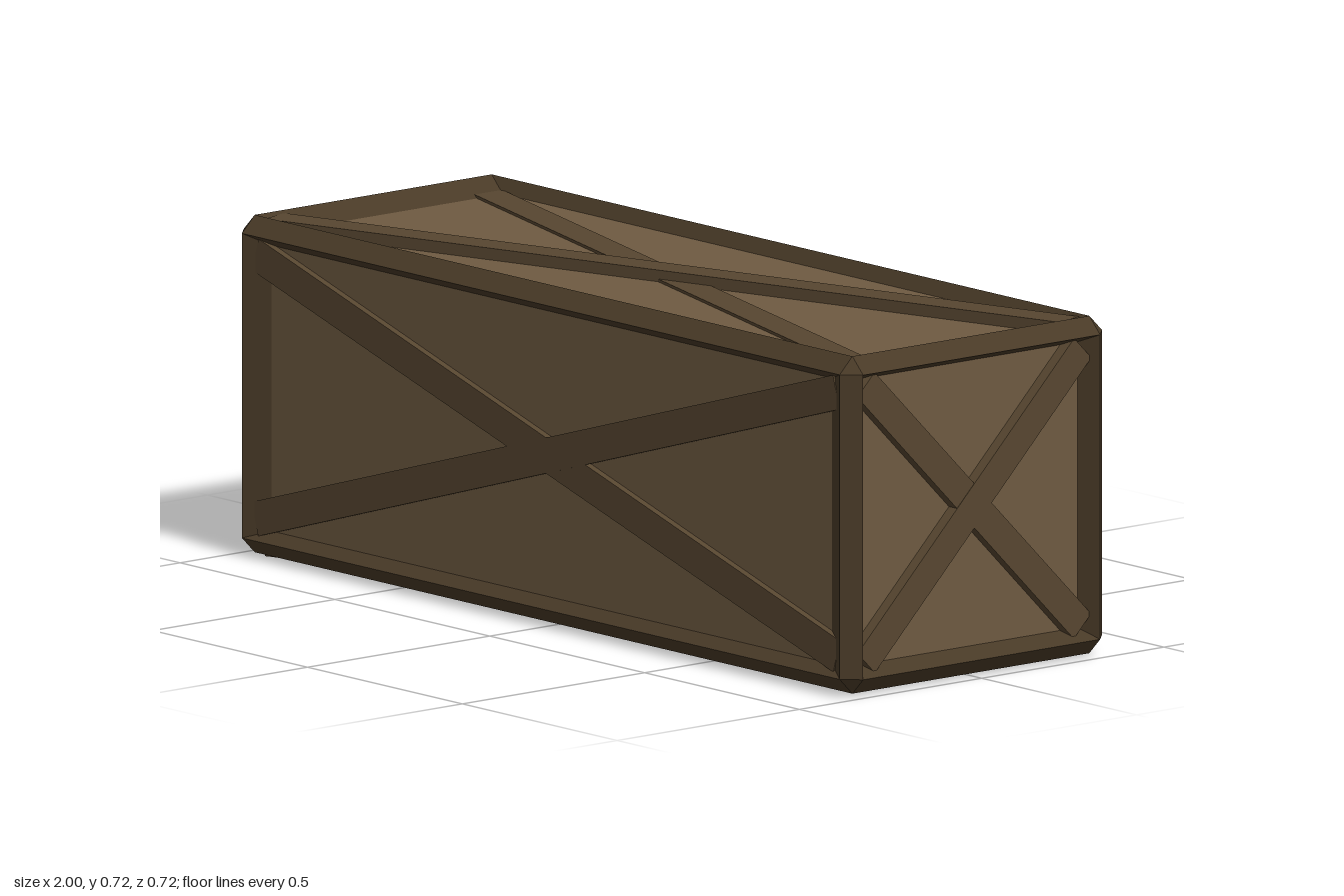
import * as THREE from 'three';

const HALF = [1, 0.36, 0.36];        // half sizes of the crate
const BEVEL = 0.035;                 // outer edge chamfer
const DEPTH = [0.05, 0.03, 0.03];    // panel recess on the x, y and z faces
const RIM = HALF.map((h) => h - BEVEL);
const CENTRE_Y = 0.365;

const material = (color) => new THREE.MeshStandardMaterial({ color, flatShading: true });

// Collects flat polygons, each turned to face the given direction.
function polygons() {
  const pos = [];
  return {
    add(pts, dir) {
      const [a, b, c] = pts;
      const n = b.clone().sub(a).cross(c.clone().sub(a));
      const p = n.dot(dir) < 0 ? [...pts].reverse() : pts;
      for (let i = 1; i < p.length - 1; i++) {
        for (const v of [p[0], p[i], p[i + 1]]) pos.push(v.x, v.y, v.z);
      }
    },
    mesh(name, mat) {
      const g = new THREE.BufferGeometry();
      g.setAttribute('position', new THREE.Float32BufferAttribute(pos, 3));
      g.computeVertexNormals();
      const m = new THREE.Mesh(g, mat);
      m.name = name;
      return m;
    },
  };
}

// Corner point of the face on `axis`; signs choose the corner.
function corner(axis, signs, inset = 1, depth = 0) {
  return new THREE.Vector3(...signs.map((s, i) => s * (i === axis ? HALF[i] - depth : RIM[i] * inset)));
}

function buildBody() {
  const frame = polygons(), panels = polygons();
  for (let a = 0; a < 3; a++) {
    const b = (a + 1) % 3, c = (a + 2) % 3;
    const at = (sa, sb, sc) => { const s = []; s[a] = sa; s[b] = sb; s[c] = sc; return s; };
    for (const s of [-1, 1]) {
      // recessed panel and the sloping sides around it
      const ring = [[-1, -1], [1, -1], [1, 1], [-1, 1]].map(([u, v]) => at(s, u, v));
      const outer = ring.map((q) => corner(a, q));
      const inner = ring.map((q) => corner(a, q, 0.938, DEPTH[a]));
      const dir = new THREE.Vector3(...at(s, 0, 0));
      panels.add(inner, dir);
      for (let i = 0; i < 4; i++) {
        const j = (i + 1) % 4;
        frame.add([outer[i], outer[j], inner[j], inner[i]], dir);
      }
      // chamfers along the edges shared with the next axis
      for (const t of [-1, 1]) {
        const p = at(s, t, -1), q = at(s, t, 1);
        frame.add([corner(a, p), corner(a, q), corner(b, q), corner(b, p)],
          new THREE.Vector3(...at(s, t, 0)));
      }
    }
  }
  // small corner facets
  for (const x of [-1, 1]) for (const y of [-1, 1]) for (const z of [-1, 1]) {
    const s = [x, y, z];
    frame.add([0, 1, 2].map((a) => corner(a, s)), new THREE.Vector3(x, y, z));
  }
  return [frame.mesh('frame', material(0x493a27)), panels.mesh('panels', material(0x6e5a41))];
}

export function createModel() {
  const model = new THREE.Group();
  const crate = new THREE.Group();
  crate.name = 'crate';
  crate.position.y = CENTRE_Y;
  crate.add(...buildBody());
  model.add(crate);

  const braceMat = material(0x574630);
  const THICK = 0.03;

  // One plank lying across a face; `surface` is its outer height from the centre.
  function plank(length, width, angle, surface, tilt = 0) {
    const m = new THREE.Mesh(new THREE.BoxGeometry(length, width, THICK), braceMat);
    m.name = 'brace';
    m.rotation.set(0, tilt, angle);
    m.position.z = surface - THICK / 2;
    return m;
  }
  function cross(name, rx, ry, planks) {
    const g = new THREE.Group();
    g.name = name;
    g.rotation.set(rx, ry, 0);
    g.add(...planks);
    crate.add(g);
  }

  const LONG = 0.292, Q = Math.PI / 4;
  // front and back crosses
  for (const [name, ry] of [['frontBraces', 0], ['backBraces', Math.PI]]) {
    cross(name, 0, ry, [plank(1.96, 0.073, LONG, 0.347), plank(1.96, 0.073, -LONG, 0.346)]);
  }
  // end crosses
  for (const [name, ry] of [['leftBraces', Math.PI / 2], ['rightBraces', -Math.PI / 2]]) {
    cross(name, 0, ry, [plank(0.84, 0.067, Q, 0.977), plank(0.84, 0.067, -Q, 0.976)]);
  }
  // top cross: one plank lies over the other
  cross('topBraces', -Math.PI / 2, 0, [
    plank(1.98, 0.073, LONG, 0.355), plank(1.94, 0.073, -LONG, 0.336)]);
  // bottom cross: the lower plank is slightly tilted
  cross('bottomBraces', Math.PI / 2, 0, [
    plank(1.98, 0.073, -LONG, 0.3577, 0.0075), plank(1.94, 0.073, LONG, 0.343)]);

  return model;
}
